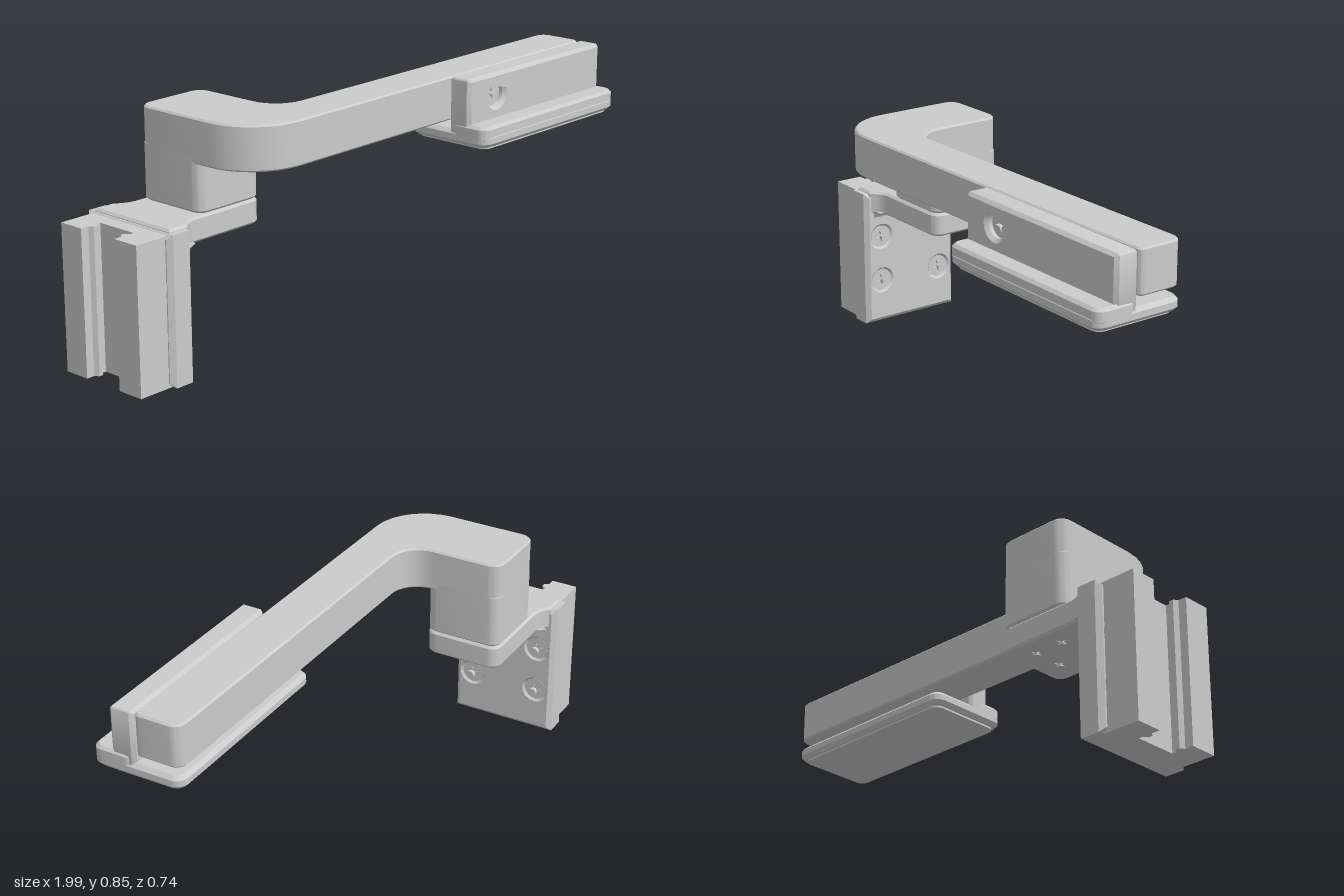
import * as THREE from 'three';
import { toCreasedNormals } from 'three/addons/utils/BufferGeometryUtils.js';

const grey = new THREE.MeshStandardMaterial({ color: 0xcccccc });

// Closed outline from [x, y, cornerRadius] points
function outline(pts) {
  const s = new THREE.Shape();
  const n = pts.length;
  pts.forEach(([x, y, r = 0], i) => {
    const p = new THREE.Vector2(x, y);
    const toward = (q, d) => p.clone().add(new THREE.Vector2(q[0] - x, q[1] - y).setLength(d));
    const prev = pts[(i + n - 1) % n], next = pts[(i + 1) % n];
    const a = toward(prev, r), b = toward(next, r);
    if (i === 0) s.moveTo(a.x, a.y); else s.lineTo(a.x, a.y);
    if (r > 0) {
      const c = toward(prev, r * 0.45), d = toward(next, r * 0.45);
      s.bezierCurveTo(c.x, c.y, d.x, d.y, b.x, b.y);
    }
  });
  s.closePath();
  return s;
}

const rect = (x0, x1, y0, y1, r = 0) => [[x0, y0, r], [x1, y0, r], [x1, y1, r], [x0, y1, r]];

// Chamfered extrusion from depth d0 to d1; holes are [x, y, radius] and become countersunk
function slab(pts, d0, d1, bevel = 0, holes = []) {
  const shape = outline(pts);
  for (const [x, y, r] of holes) shape.holes.push(new THREE.Path().absarc(x, y, r - bevel, 0, Math.PI * 2, true));
  return new THREE.ExtrudeGeometry(shape, {
    depth: d1 - d0 - 2 * bevel, curveSegments: 8, bevelEnabled: bevel > 0,
    bevelThickness: bevel, bevelSize: bevel, bevelOffset: -bevel, bevelSegments: 1,
  }).translate(0, 0, d0 + bevel);
}

// Plan outline given in x, z and extruded up y
const plan = (pts, y0, y1, bevel, holes = []) =>
  slab(pts.map(([x, z, r]) => [x, -z, r]), y0, y1, bevel, holes.map(([x, z, r]) => [x, -z, r])).rotateX(-Math.PI / 2);

function add(parent, name, geo) {
  const m = new THREE.Mesh(toCreasedNormals(geo, 0.5), grey);
  m.name = name;
  parent.add(m);
  return m;
}

// Screw facing +z with a four-pointed driver recess
function screw(r) {
  const g = new THREE.Group();
  g.name = 'screw';
  const head = new THREE.Shape().absarc(0, 0, r, 0, Math.PI * 2, false);
  const star = new THREE.Path();
  for (let i = 0; i < 8; i++) {
    const a = i * Math.PI / 4 + 0.2, q = r * (i % 2 ? 0.2 : 0.55);
    star[i ? 'lineTo' : 'moveTo'](q * Math.cos(a), q * Math.sin(a));
  }
  star.closePath();
  head.holes.push(star);
  add(g, 'screwHead', new THREE.ExtrudeGeometry(head, { depth: 0.015, bevelEnabled: false, curveSegments: 8 }).translate(0, 0, -0.015));
  add(g, 'screwShank', new THREE.CylinderGeometry(r, r, 0.015, 16).rotateX(Math.PI / 2).translate(0, 0, -0.0225));
  return g;
}

export function createModel() {
  const model = new THREE.Group();
  model.name = 'railMountedArm';

  // Slotted rail clamp
  add(model, 'railClamp', plan([
    [-0.86, -0.35], [-1, -0.35], [-1, -0.255], [-0.97, -0.255], [-0.96, -0.24], [-0.945, -0.24], [-0.935, -0.255], [-0.92, -0.255],
    [-0.92, -0.1], [-0.935, -0.1], [-0.945, -0.115], [-0.96, -0.115], [-0.97, -0.1], [-1, -0.1], [-1, 0], [-0.86, 0],
  ], 0, 0.505, 0));

  // Mounting plate with four countersunk screws
  const plateHoles = [];
  for (const z of [-0.047, -0.303]) for (const y of [0.165, 0.337]) plateHoles.push([-z, y, 0.05]);
  add(model, 'mountingPlate', slab(rect(-0.02, 0.372, 0, 0.51), -0.88, -0.78, 0.016, plateHoles).rotateY(Math.PI / 2));
  for (const [mz, y] of plateHoles) {
    const s = screw(0.042);
    s.rotation.y = Math.PI / 2;
    s.position.set(-0.787, y, -mz);
    model.add(s);
  }

  // Bracket shelf, flared into the plate, screwed to the post from below
  const shelfHoles = [];
  for (const dx of [-0.055, 0.055]) for (const dz of [-0.055, 0.055]) shelfHoles.push([-0.55 + dx, -0.18 + dz, 0.046]);
  add(model, 'bracketShelf', plan([
    [-0.86, -0.35], [-0.785, -0.35], [-0.745, -0.318, 0.03], [-0.415, -0.318, 0.04],
    [-0.415, -0.037, 0.04], [-0.745, -0.037, 0.03], [-0.785, 0], [-0.86, 0],
  ], 0.435, 0.52, 0.008, shelfHoles));
  for (const [x, z] of shelfHoles) {
    const s = screw(0.04);
    s.rotation.x = Math.PI / 2;
    s.position.set(x, 0.44, z);
    model.add(s);
  }
  add(model, 'bracketFillet', slab([[-0.79, 0.445], [-0.79, 0.4], [-0.775, 0.425], [-0.735, 0.445]], -0.335, -0.015));

  // Post carrying the arm
  add(model, 'post', plan(rect(-0.69, -0.415, -0.316, -0.038, 0.04), 0.521, 0.72, 0.008));

  // Bent arm, rising slightly toward its free end
  const arm = plan([
    [-0.69, -0.316, 0.045], [-0.415, -0.316, 0.045], [-0.415, 0.042, 0.1], [0.985, 0.042, 0.04],
    [0.985, 0.208, 0.02], [-0.69, 0.208, 0.2],
  ], 0.685, 0.837, 0.006);
  const p = arm.attributes.position;
  for (let i = 0; i < p.count; i++) p.setY(i, p.getY(i) + 0.005 * (p.getX(i) + 0.69));
  add(model, 'arm', arm);

  // Clamp plate on the front of the arm with two screws
  const clampHoles = [[0.39, 0.77, 0.055], [0.84, 0.77, 0.055]];
  add(model, 'clampPlate', slab(rect(0.24, 0.985, 0.64, 0.846, 0.01), 0.212, 0.3, 0.012, clampHoles));
  for (const [x, y] of clampHoles) {
    const s = screw(0.044);
    s.position.set(x, y, 0.275);
    model.add(s);
  }

  // Foot under the arm: low tongue, raised front lip and thin pad
  add(model, 'footTongue', plan(rect(0.238, 0.99, 0.04, 0.372, 0.04), 0.617, 0.664, 0.013));
  add(model, 'footLip', plan(rect(0.238, 0.99, 0.215, 0.37, 0.035), 0.635, 0.69, 0.01));
  add(model, 'footPad', plan(rect(0.26, 0.97, 0.06, 0.355, 0.03), 0.61, 0.625, 0));

  return model;
}
